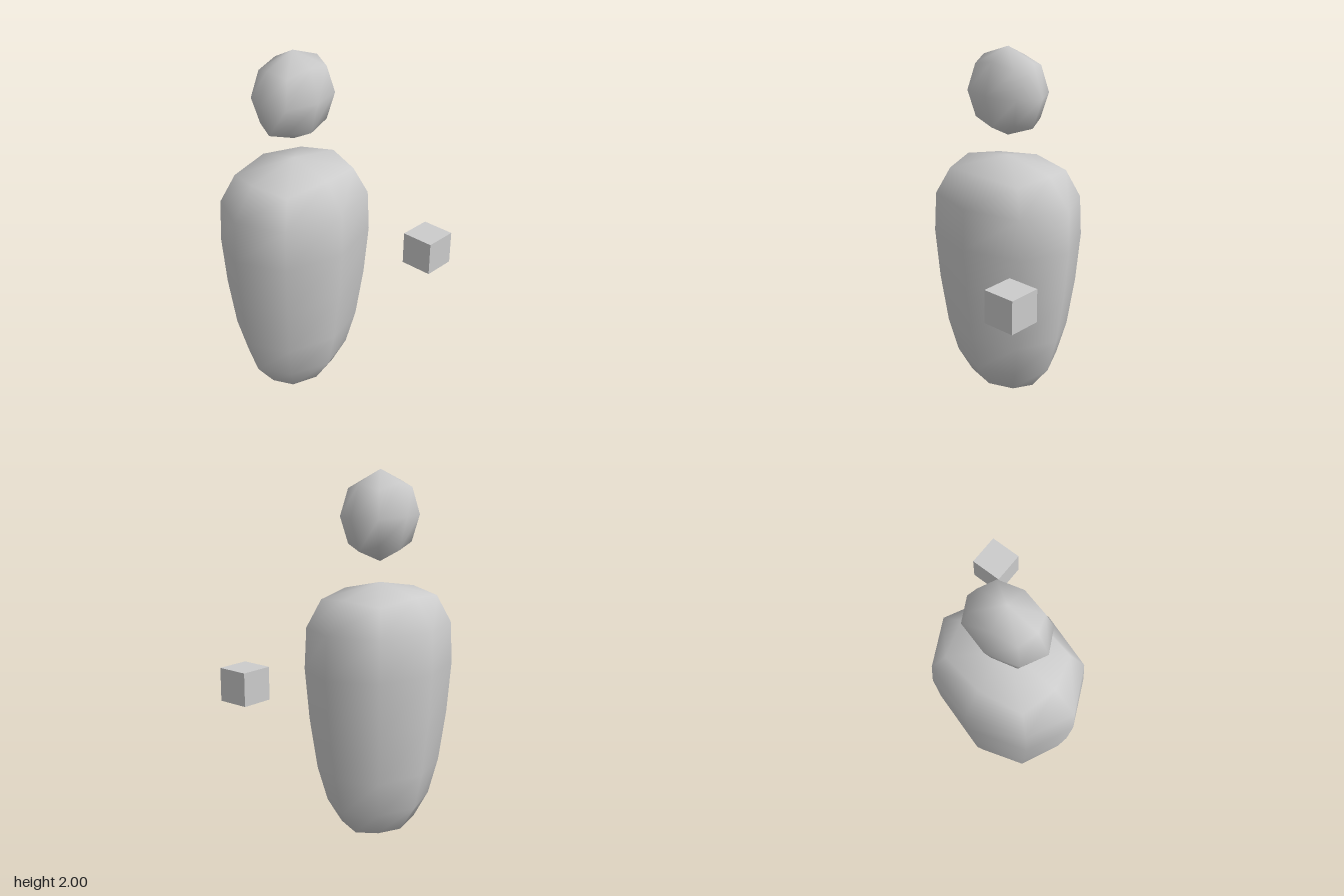
import * as THREE from 'three';

const grey = new THREE.MeshStandardMaterial({ color: 0xcccccc });

// Smooth eight-sided blob: rings of [y, rx, rz, cornerRatio, cornerLift] from bottom to top,
// closed with a pole at each end.
function blob(name, bottom, rings, top) {
  const pos = [0, bottom, 0];
  const index = [];
  for (const [y, rx, rz, ratio, lift] of rings) {
    for (let k = 0; k < 8; k++) {
      const corner = k % 2 === 1;
      const a = (k * Math.PI) / 4;
      const s = corner ? ratio : 1;
      const cx = corner ? Math.sign(Math.cos(a)) : Math.cos(a);
      const cz = corner ? Math.sign(Math.sin(a)) : Math.sin(a);
      pos.push(cx * rx * s, y + (corner ? lift : 0), -cz * rz * s);
    }
  }
  pos.push(0, top, 0);
  const last = rings.length * 8 + 1;
  for (let k = 0; k < 8; k++) {
    const n = (k + 1) % 8;
    index.push(0, 1 + n, 1 + k);
    for (let r = 0; r < rings.length - 1; r++) {
      const a = 1 + r * 8 + k, b = 1 + r * 8 + n;
      index.push(a, b, b + 8, a, b + 8, a + 8);
    }
    index.push(last - 8 + k, last - 8 + n, last);
  }
  const geo = new THREE.BufferGeometry();
  geo.setAttribute('position', new THREE.Float32BufferAttribute(pos, 3));
  geo.setIndex(index);
  geo.computeVertexNormals();
  const mesh = new THREE.Mesh(geo, grey);
  mesh.name = name;
  mesh.position.set(-0.077, 0, -0.133);
  return mesh;
}

export function createModel() {
  const model = new THREE.Group();
  model.name = 'figure';

  // Tapered torso
  model.add(blob('body', 0.003, [
    [0.05, 0.197, 0.157, 0.82, 0.02],
    [0.195, 0.31, 0.25, 0.72, 0.01],
    [0.4, 0.367, 0.295, 0.726, 0],
    [0.68, 0.412, 0.33, 0.726, 0],
    [0.96, 0.438, 0.35, 0.726, 0],
    [1.19, 0.432, 0.346, 0.715, -0.008],
    [1.355, 0.3, 0.24, 0.82, -0.025],
  ], 1.412));

  // Floating head, flattened front to back
  model.add(blob('head', 1.523, [
    [1.59, 0.174, 0.127, 0.8, 0.03],
    [1.762, 0.24, 0.175, 0.726, 0],
    [1.935, 0.174, 0.127, 0.8, -0.03],
  ], 2));

  // Small floating cube ahead of the left side
  const cube = new THREE.Mesh(new THREE.BoxGeometry(0.183, 0.183, 0.183), grey);
  cube.name = 'cube';
  cube.position.set(0.422, 0.865, 0.391);
  model.add(cube);

  return model;
}
